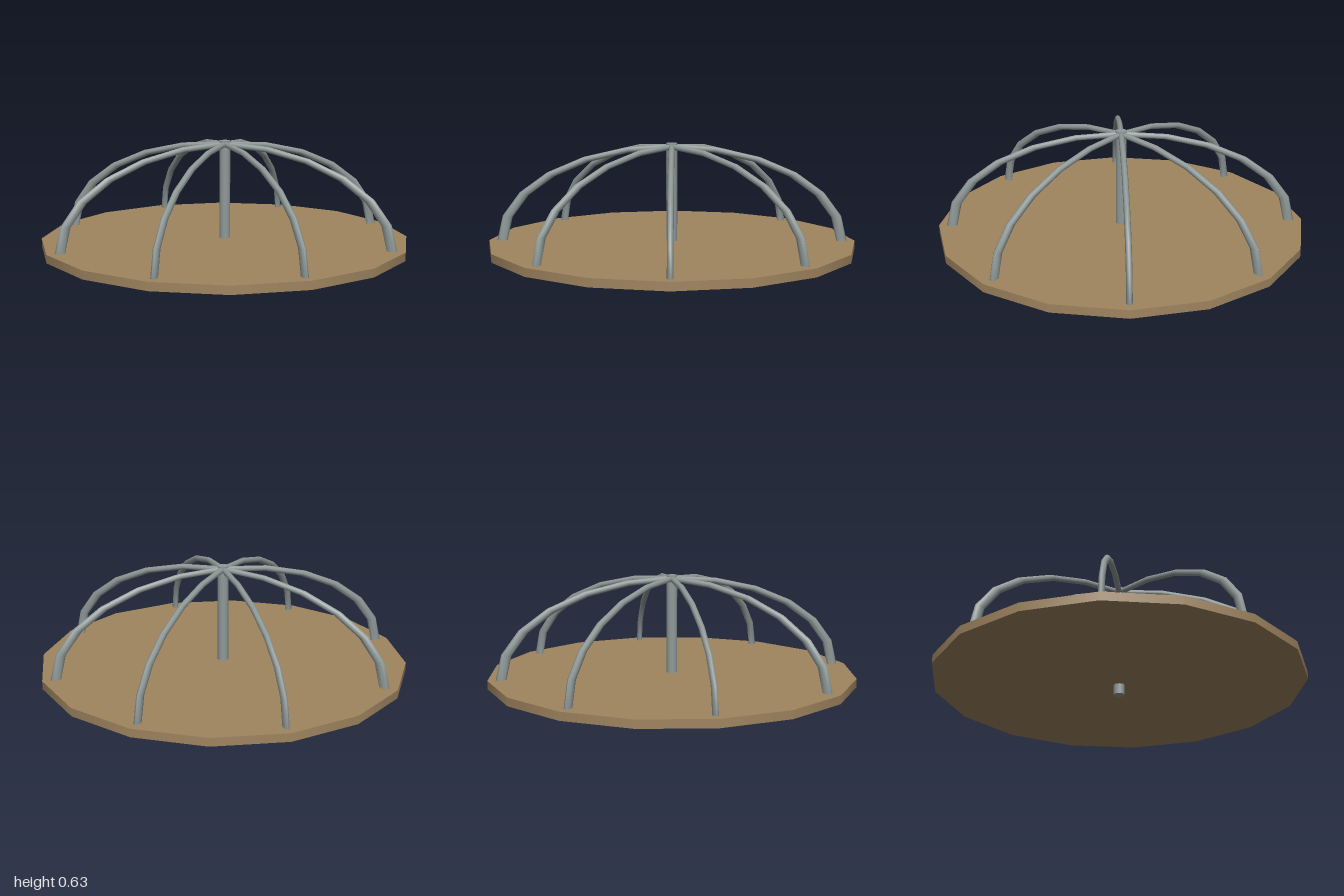
import * as THREE from 'three';

const metal = new THREE.MeshStandardMaterial({ color: 0x8f9a98 });
const wood = new THREE.MeshStandardMaterial({ color: 0xa08560 });

function addCylinder(group, name, radius, bottom, top, sides, material) {
  const mesh = new THREE.Mesh(new THREE.CylinderGeometry(radius, radius, top - bottom, sides), material);
  mesh.name = name;
  mesh.position.y = (bottom + top) / 2;
  group.add(mesh);
}

export function createModel() {
  const group = new THREE.Group();
  group.name = 'merryGoRound';

  // Round platform and the spindle through its middle
  addCylinder(group, 'platform', 1, 0.055, 0.1, 16, wood);
  addCylinder(group, 'spindle', 0.03, 0, 0.635, 12, metal);

  // Four flattened half hoops crossing over the spindle
  const hoop = new THREE.TorusGeometry(0.928, 0.028, 8, 12, Math.PI);
  hoop.scale(1, 0.555, 0.57);
  for (let i = 0; i < 4; i++) {
    const rail = new THREE.Mesh(hoop, metal);
    rail.name = 'handrail' + (i + 1);
    rail.position.y = 0.1;
    rail.rotation.y = (i * Math.PI) / 4;
    group.add(rail);
  }
  return group;
}
